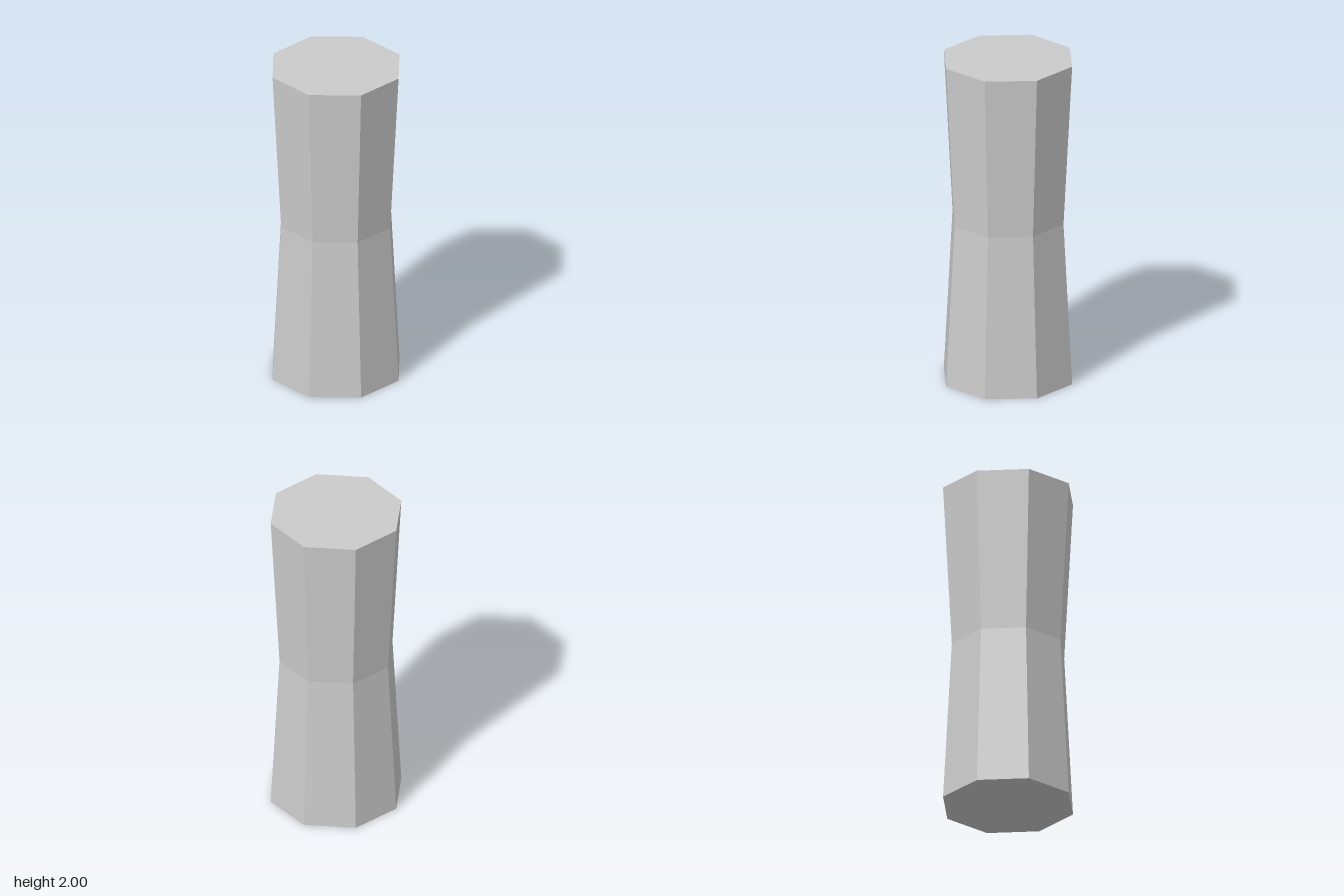
import * as THREE from 'three';

export function createModel() {
  const group = new THREE.Group();
  group.name = 'waistedColumn';

  const height = 2, endRadius = 0.4, waistRadius = 0.346;

  // Eight-sided closed column with one extra ring at mid height
  const geometry = new THREE.CylinderGeometry(endRadius, endRadius, height, 8, 2);

  // Pinch the middle ring to form the waist
  const pos = geometry.attributes.position;
  const pinch = waistRadius / endRadius;
  for (let i = 0; i < pos.count; i++) {
    if (Math.abs(pos.getY(i)) < 0.01) {
      pos.setX(i, pos.getX(i) * pinch);
      pos.setZ(i, pos.getZ(i) * pinch);
    }
  }
  geometry.translate(0, height / 2, 0);
  geometry.computeVertexNormals();

  const column = new THREE.Mesh(
    geometry,
    new THREE.MeshStandardMaterial({ color: 0xcccccc, flatShading: true })
  );
  column.name = 'column';
  group.add(column);
  return group;
}
